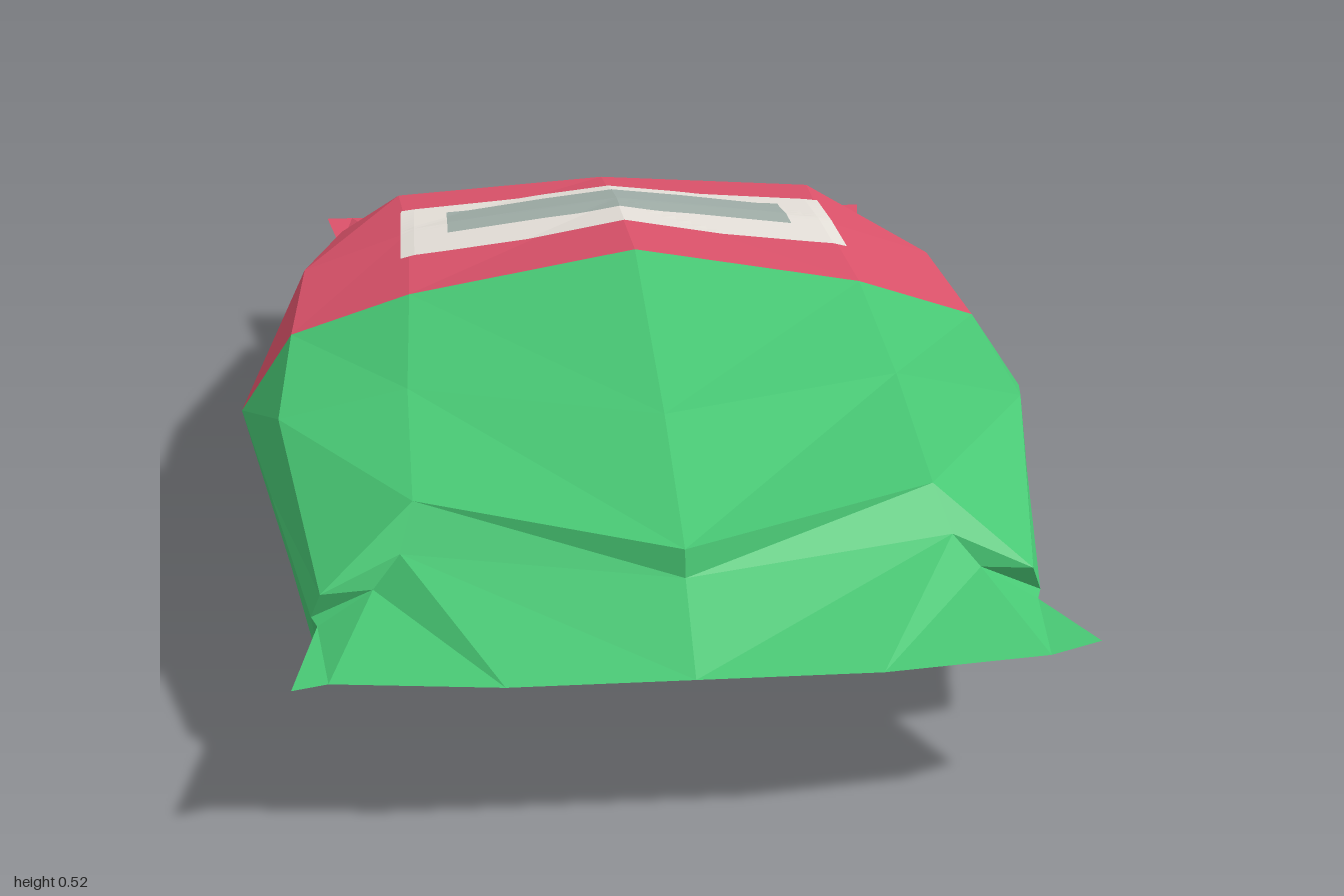
import * as THREE from 'three';

// Cross-sections from back to front; each is [edge, shoulder, middle, centre] as [x, y, z]
const TOP = [
  [[.55, .25, -1], [.5, .25, -1], [.38, .25, -1], [0, .25, -1]],
  [[.52, .25, -.82], [.44, .29, -.78], [.4, .335, -.78], [0, .345, -.83]],
  [[.53, .25, -.8], [.515, .29, -.8], [.4, .385, -.73], [0, .39, -.8]],
  [[.605, .25, -.38], [.57, .37, -.36], [.38, .43, -.38], [0, .47, -.4]],
  [[.67, .25, 0], [.58, .385, 0], [.38, .457, .015], [0, .52, 0]],
  [[.605, .25, .35], [.587, .38, .35], [.385, .425, .35], [0, .445, .53]],
  [[.53, .25, .77], [.515, .29, .78], [.38, .39, .69], [0, .37, .84]],
  [[.52, .25, .8], [.44, .29, .77], [.4, .335, .75], [0, .33, .85]],
  [[.565, .25, .96], [.5, .25, .97], [.26, .25, 1], [0, .25, 1]],
];
const BOTTOM = [
  TOP[0],
  [TOP[1][0], [.47, .21, -.8], [.4, .19, -.8], [0, .19, -.81]],
  [TOP[2][0], [.52, .17, -.76], [.38, .13, -.73], [0, .13, -.74]],
  [TOP[3][0], [.57, .11, -.35], [.38, .085, -.37], [0, .06, -.42]],
  [TOP[4][0], [.57, .12, 0], [.38, .065, .015], [0, 0, 0]],
  [TOP[5][0], [.58, .125, .35], [.385, .105, .35], [0, .115, .53]],
  [TOP[6][0], [.52, .125, .72], [.38, .13, .7], [0, .12, .71]],
  [TOP[7][0], [.46, .2, .78], [.4, .2, .8], [0, .19, .8]],
  TOP[8],
];

// Flat-shaded skin between two section numbers, upper and lower halves together
function shell(name, from, to, color) {
  const pos = [];
  const tri = (flip, a, b, c) => pos.push(...a, ...(flip ? c : b), ...(flip ? b : c));
  for (const rows of [TOP, BOTTOM]) {
    for (const side of [-1, 1]) {
      const flip = (side > 0) !== (rows === BOTTOM);
      const at = (r, k) => {
        const [x, y, z] = rows[r][k];
        // the front seal is slightly skewed at its outer corners
        const skew = r === 8 && k === 0 ? side : 0;
        return [side * (x + skew * .015), y, z - skew * .025];
      };
      for (let r = from; r < to; r++) {
        for (let k = 0; k < 3; k++) {
          const a = at(r, k), b = at(r + 1, k), c = at(r + 1, k + 1), d = at(r, k + 1);
          if (r < 4) {
            tri(flip, a, b, d);
            tri(flip, b, c, d);
          } else {
            tri(flip, a, b, c);
            tri(flip, a, c, d);
          }
        }
      }
    }
  }
  const geo = new THREE.BufferGeometry();
  geo.setAttribute('position', new THREE.Float32BufferAttribute(pos, 3));
  geo.computeVertexNormals();
  const mesh = new THREE.Mesh(geo, new THREE.MeshStandardMaterial({
    color, flatShading: true, side: THREE.DoubleSide }));
  mesh.name = name;
  return mesh;
}

// Thin patch draped over the bag; back(x) and front(x) give its z limits
function patch(name, bag, halfWidth, back, front, lift, color) {
  const geo = new THREE.PlaneGeometry(1, 1, 32, 16);
  const p = geo.attributes.position;
  const ray = new THREE.Raycaster();
  const down = new THREE.Vector3(0, -1, 0);
  for (let i = 0; i < p.count; i++) {
    const x = p.getX(i) * 2 * halfWidth;
    const z = THREE.MathUtils.lerp(front(Math.abs(x)), back(Math.abs(x)), p.getY(i) + .5);
    ray.set(new THREE.Vector3(x, 2, z), down);
    const hit = ray.intersectObject(bag)[0];
    p.setXYZ(i, x, (hit ? hit.point.y : .45) + lift, z);
  }
  geo.computeVertexNormals();
  const mesh = new THREE.Mesh(geo, new THREE.MeshStandardMaterial({
    color, flatShading: true, side: THREE.DoubleSide }));
  mesh.name = name;
  return mesh;
}

export function createModel() {
  const group = new THREE.Group();
  group.name = 'snackBag';

  // Two-coloured pillow bag with crimped ends
  const back = shell('backHalf', 0, 4, 0xdb526a);
  const front = shell('frontHalf', 4, 8, 0x48c774);
  group.add(back, front);

  // Label frame and its inner panel
  const slope = x => Math.max(0, x - .13);
  group.add(patch('labelFrame', back, .395,
    x => -.615 + slope(x) * .22,
    x => -.22 + Math.min(x, .33) * .045, .005, 0xe6e1da));
  group.add(patch('labelPanel', back, .31,
    x => -.525 + slope(x) * .16,
    x => -.325 + slope(x) * .08, .009, 0xa0aea8));
  return group;
}
